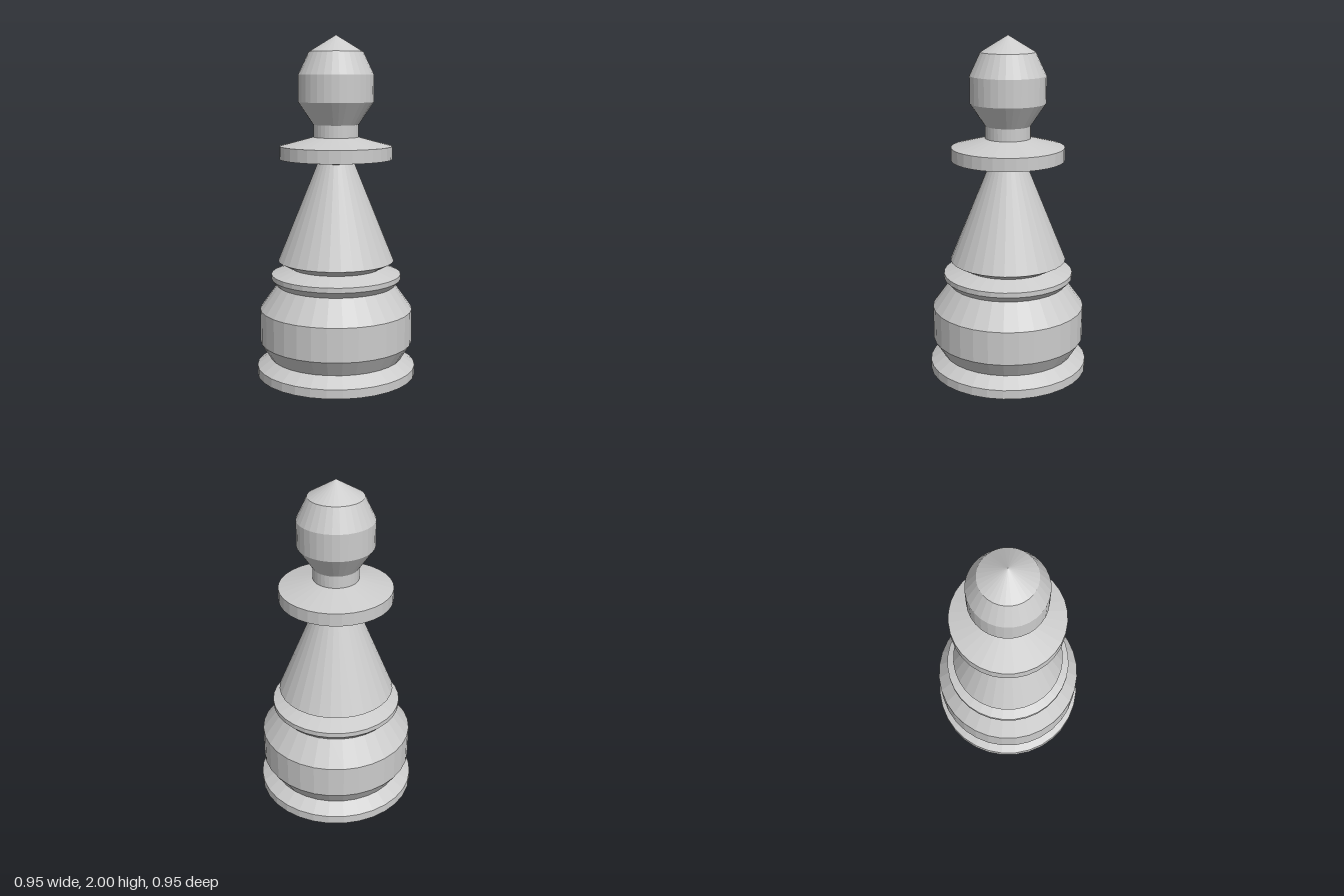
import * as THREE from 'three';

const SIDES = 32;

// Each part is a turned section: [radius, height] from bottom to top.
// Neighbouring sections share their end rings.
const SECTIONS = {
  foot: [[0, 0], [0.473, 0], [0.473, 0.053], [0.395, 0.107]],
  drum: [[0.395, 0.107], [0.453, 0.2], [0.453, 0.398], [0.35, 0.541]],
  ring: [[0.35, 0.541], [0.384, 0.578], [0.384, 0.607], [0.27, 0.647]],
  stem: [[0.27, 0.647], [0.343, 0.687], [0.108, 1.264]],
  collar: [[0.108, 1.264], [0.33, 1.288], [0.33, 1.364], [0.132, 1.416]],
  neck: [[0.132, 1.416], [0.132, 1.488]],
  head: [[0.132, 1.488], [0.22, 1.618], [0.22, 1.774], [0.158, 1.905], [0, 2]],
};

export function createModel() {
  const group = new THREE.Group();
  group.name = 'pawn';
  const material = new THREE.MeshStandardMaterial({ color: 0xcccccc, flatShading: true });

  for (const [name, profile] of Object.entries(SECTIONS)) {
    const points = profile.map(([r, y]) => new THREE.Vector2(r, y));
    const mesh = new THREE.Mesh(new THREE.LatheGeometry(points, SIDES), material);
    mesh.name = name;
    group.add(mesh);
  }
  return group;
}
